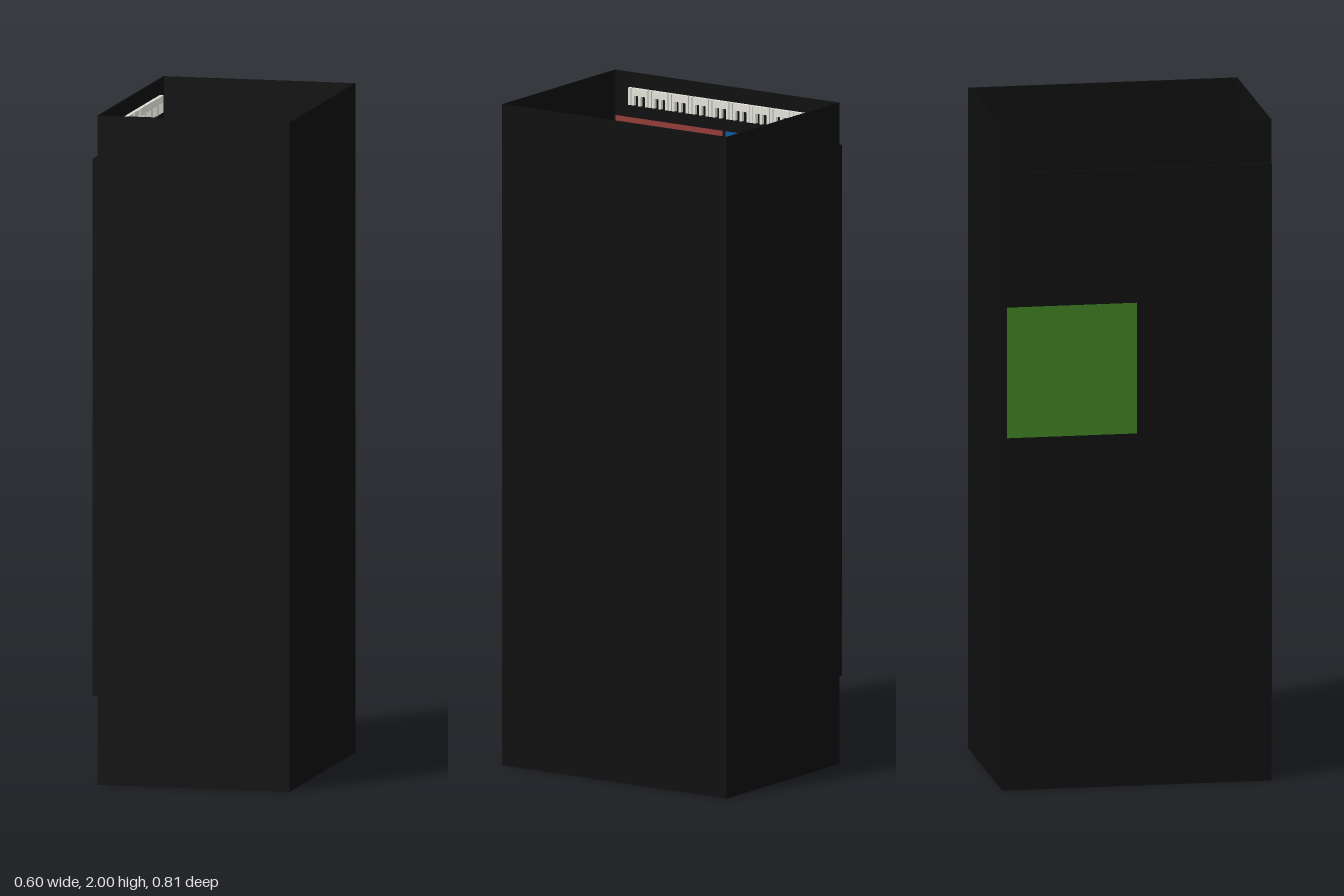
import * as THREE from 'three';

const mat = (color) => new THREE.MeshStandardMaterial({ color, side: THREE.DoubleSide });
const BLACK = mat(0x0e0e0e), WHITE = mat(0xe2e2da);
const BLUE = mat(0x0d58a0), RED = mat(0x933c38), GREEN = mat(0x3a7a20);

// Box given by its lower and upper corners
function block(parent, name, material, [x0, y0, z0], [x1, y1, z1]) {
  const mesh = new THREE.Mesh(new THREE.BoxGeometry(x1 - x0, y1 - y0, z1 - z0), material);
  mesh.position.set((x0 + x1) / 2, (y0 + y1) / 2, (z0 + z1) / 2);
  mesh.name = name;
  parent.add(mesh);
  return mesh;
}

export function createModel() {
  const model = new THREE.Group();
  model.name = 'cabinet';

  // Open-topped shell with thin walls
  const L = -0.285, R = 0.3, Z = 0.404, H = 2, t = 0.004;
  const shell = new THREE.Group();
  shell.name = 'shell';
  block(shell, 'floor', BLACK, [L, 0, -Z], [R, t, Z]);
  block(shell, 'frontWall', BLACK, [L, 0, Z - t], [R, H, Z]);
  block(shell, 'backWall', BLACK, [L, 0, -Z], [R, H, -Z + t]);
  block(shell, 'leftWall', BLACK, [R - t, 0, -Z], [R, H, Z]);
  block(shell, 'rightWall', BLACK, [L, 0, -Z], [L + t, H, Z]);
  model.add(shell);

  // Display panel set through the right wall
  const y0 = 0.265, y1 = 1.87, outer = -0.3, inner = -0.272;
  block(model, 'displayPanel', BLACK, [outer, y0, -0.402], [inner, y1, 0.402]);

  // Tiles, two columns by four rows; one faces outward
  const tiles = new THREE.Group();
  tiles.name = 'tiles';
  const rowH = (y1 - y0) / 4;
  for (let row = 0; row < 4; row++) {
    for (let col = 0; col < 2; col++) {
      const top = y1 - 0.004 - row * rowH, bottom = top - rowH + 0.006;
      const [za, zb] = col ? [0.008, 0.393] : [-0.393, -0.003];
      const outward = row === 1 && col === 0;
      const x = outward ? outer : inner;
      block(tiles, outward ? 'outerTile' : 'innerTile', outward ? GREEN : (row + col) % 2 ? RED : BLUE,
        [x - 0.001, bottom, za], [x + 0.001, top, zb]);
    }
  }
  model.add(tiles);

  // Pale slatted strip above the tiles, inside the rim
  const strip = new THREE.Group();
  strip.name = 'slattedStrip';
  const count = 9, pitch = 0.656 / count, gap = 0.003, xa = -0.273, xb = -0.262;
  for (let i = 0; i < count; i++) {
    const z = -0.312 + i * pitch;
    block(strip, 'longSlat', WHITE, [xa, 1.935, z], [xb, 1.957, z + pitch - 0.0125 - gap]);
    block(strip, 'shortSlat', WHITE, [xa, 1.905, z + pitch - 0.0125], [xb, 1.957, z + pitch - gap]);
    for (const k of [0, 0.025, 0.048])
      block(strip, 'tooth', WHITE, [xa, 1.905, z + k], [xb, 1.935, z + k + 0.009]);
  }
  block(strip, 'backing', BLACK, [L + t, 1.905, -0.312], [xa, 1.955, 0.344]);
  model.add(strip);

  return model;
}
